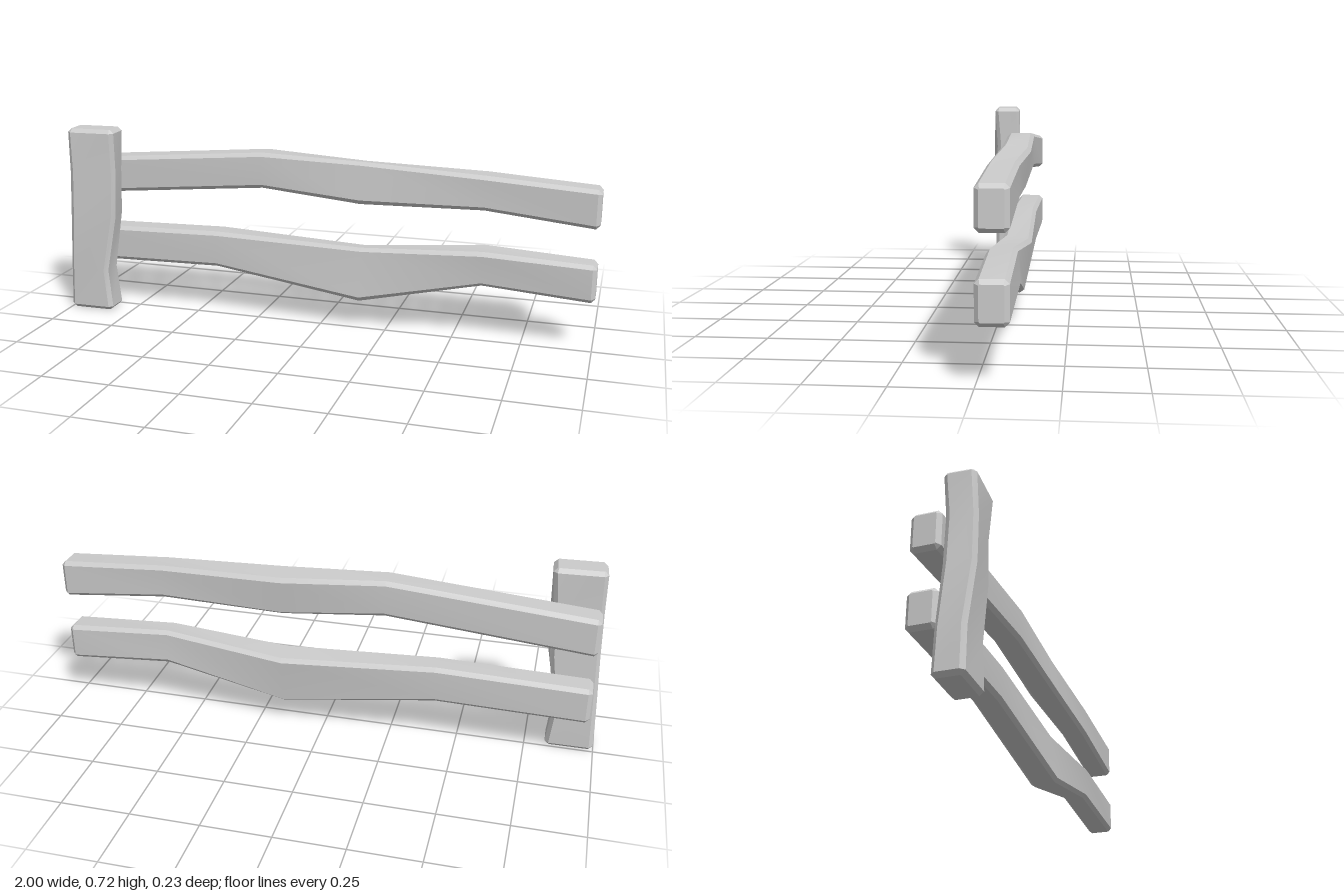
import * as THREE from 'three';
import { toCreasedNormals } from 'three/addons/utils/BufferGeometryUtils.js';

const material = new THREE.MeshStandardMaterial({ color: 0xcccccc });
const BEVEL = 0.014;

// Chamfered rectangle, turned by rot, as [u, v, t] points in counter-clockwise order
function ring(t, [, cu, cv, hu, hv, rot], inset, chamfer) {
  const a = hu - inset, b = hv - inset, c = chamfer;
  const corners = [[a, c - b], [a, b - c], [a - c, b], [c - a, b], [-a, b - c], [-a, c - b], [c - a, -b], [a - c, -b]];
  const cos = Math.cos(rot), sin = Math.sin(rot);
  return corners.map(([u, v]) => [cu + u * cos - v * sin, cv + u * sin + v * cos, t]);
}

// Bevelled timber lofted through sections [t, centreU, centreV, halfU, halfV, rot];
// place maps (u, v, t) to x, y, z
function timber(name, sections, place) {
  const first = sections[0], last = sections[sections.length - 1];
  const rings = [
    ring(first[0], first, BEVEL, 0.003),
    ring(first[0] + BEVEL, first, 0, BEVEL),
    ...sections.slice(1, -1).map((s) => ring(s[0], s, 0, BEVEL)),
    ring(last[0] - BEVEL, last, 0, BEVEL),
    ring(last[0], last, BEVEL, 0.003),
  ];
  const n = 8, top = (rings.length - 1) * n, index = [];
  for (let r = 0; r < rings.length - 1; r++) {
    for (let i = 0; i < n; i++) {
      const a = r * n + i, b = r * n + (i + 1) % n;
      index.push(a, b, b + n, a, b + n, a + n);
    }
  }
  // End caps
  for (let i = 1; i < n - 1; i++) {
    index.push(0, i + 1, i, top, top + i, top + i + 1);
  }
  const geometry = new THREE.BufferGeometry();
  const points = rings.flat().flatMap(([u, v, t]) => place(u, v, t));
  geometry.setAttribute('position', new THREE.Float32BufferAttribute(points, 3));
  geometry.setIndex(index);
  const mesh = new THREE.Mesh(toCreasedNormals(geometry, 0.5), material);
  mesh.name = name;
  return mesh;
}

export function createModel() {
  const group = new THREE.Group();
  group.name = 'fenceSection';

  // Rails run along x: u is y, v is z
  const alongX = (u, v, t) => [t, u, v];
  group.add(timber('upperRail', [
    [-0.97, 0.515, -0.05, 0.07, 0.051, 0],
    [-0.23, 0.577, -0.05, 0.067, 0.051, 0],
    [0.15, 0.548, -0.05, 0.077, 0.052, -0.15],
    [0.6, 0.547, -0.05, 0.063, 0.051, 0],
    [1, 0.515, -0.05, 0.07, 0.051, 0],
  ], alongX));
  group.add(timber('lowerRail', [
    [-0.97, 0.245, -0.05, 0.068, 0.051, 0],
    [-0.42, 0.256, -0.05, 0.069, 0.051, 0],
    [0.15, 0.2, -0.05, 0.1, 0.052, -0.15],
    [0.6, 0.271, -0.05, 0.065, 0.051, 0.08],
    [1, 0.246, -0.05, 0.069, 0.051, 0],
  ], alongX));

  // Post runs along y: u is z, v is x
  const alongY = (u, v, t) => [v, t, u];
  group.add(timber('post', [
    [0, 0.052, -0.911, 0.052, 0.087, 0.01],
    [0.16, 0.052, -0.916, 0.05, 0.077, 0.02],
    [0.38, 0.056, -0.89, 0.052, 0.088, 0.15],
    [0.55, 0.054, -0.884, 0.05, 0.088, 0.17],
    [0.716, 0.052, -0.88, 0.053, 0.092, 0.05],
  ], alongY));

  return group;
}
